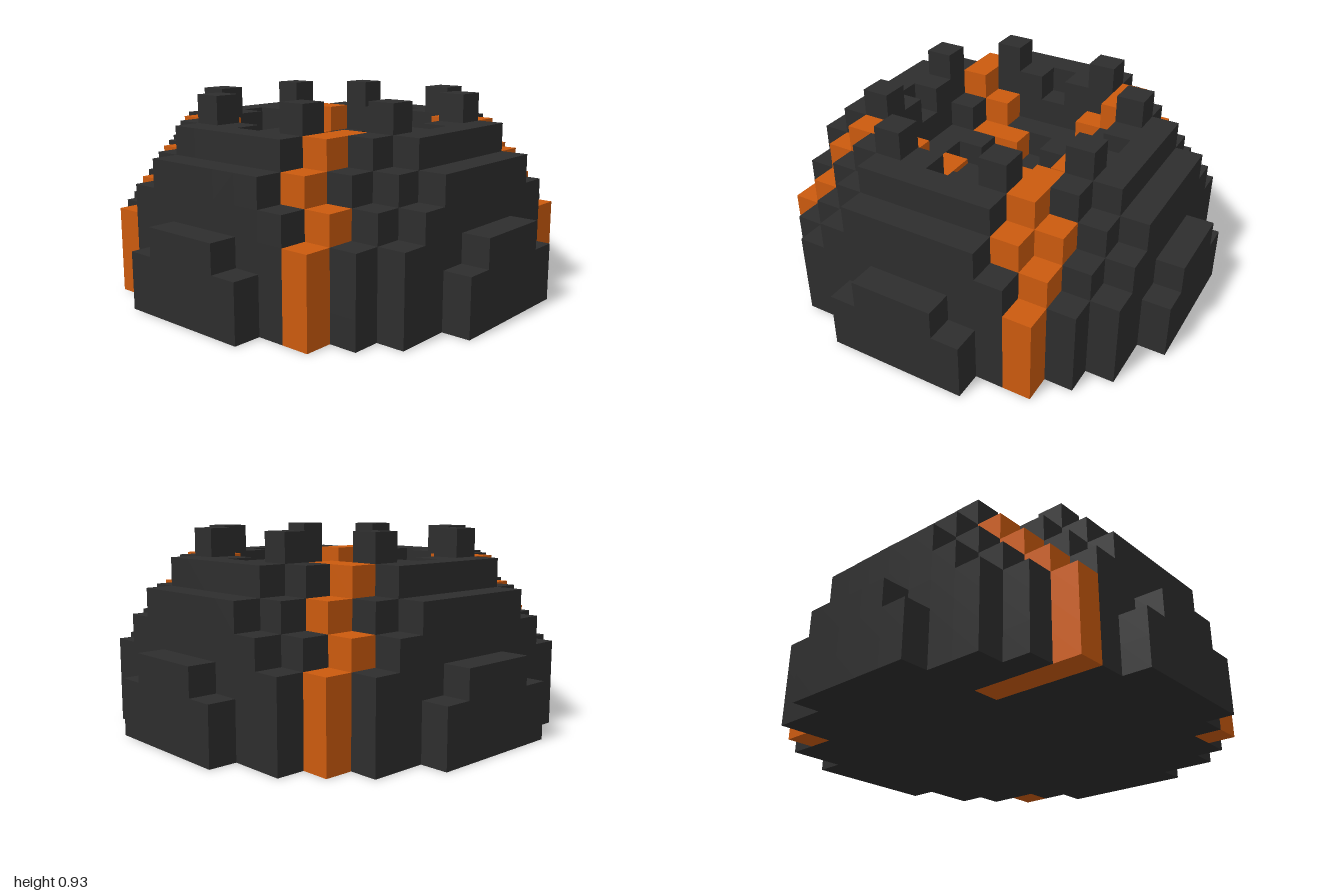
import * as THREE from 'three';

const CELL = 2 / 15;

// Glowing cracks: for each row z, the runs of columns [fromX, toX]
const CRACKS = {
  '-5': [[4, 5]],
  '-4': [[-6, -3], [3, 4]],
  '-3': [[-3, -2], [2, 3]],
  '-2': [[-2, -1], [2, 2]],
  '-1': [[-1, 2]],
  '0': [[-1, 1]],
  '1': [[-2, 1]],
  '2': [[-3, -2], [1, 2]],
  '3': [[-5, -3], [2, 3]],
  '4': [[-6, -5], [3, 4]],
  '5': [[3, 4]],
  '6': [[4, 4]],
};

const inCrack = (x, z) => (CRACKS[z] || []).some(([a, b]) => x >= a && x <= b);

// Dome of blocks with a round crater scooped out of the top
function solid(x, y, z) {
  if (y < 0) return false;
  const d = x * x + z * z;
  const dome = d + y * y <= 7.5 * 7.5;
  const crater = d + (y - 7) * (y - 7) <= 4.5 * 4.5;
  return dome && !crater;
}

// Only the outer layer of a crack glows; one crack also runs under the base
function isLava(x, y, z) {
  if (!inCrack(x, z)) return false;
  if (y === 0 && z === -4 && x < 0) return true;
  return !solid(x + 1, y, z) || !solid(x - 1, y, z) || !solid(x, y + 1, z) ||
    !solid(x, y, z + 1) || !solid(x, y, z - 1);
}

// Adds the square face of a block on the given axis and side
function addFace(out, cell, axis, side) {
  const u = (axis + 1) % 3, v = (axis + 2) % 3;
  const corners = [[-1, -1], [1, -1], [1, 1], [-1, 1]].map(([a, b]) => {
    const p = [cell[0], cell[1] + 0.5, cell[2]];
    p[axis] += side / 2;
    p[u] += a / 2;
    p[v] += b / 2;
    return p.map((n) => n * CELL);
  });
  const order = side > 0 ? [0, 1, 2, 0, 2, 3] : [0, 2, 1, 0, 3, 2];
  for (const i of order) out.push(...corners[i]);
}

// Skin of all blocks that pass the test
function blockSkin(test) {
  const out = [];
  for (let x = -7; x <= 7; x++)
    for (let y = 0; y <= 7; y++)
      for (let z = -7; z <= 7; z++) {
        if (!solid(x, y, z) || !test(x, y, z)) continue;
        for (let axis = 0; axis < 3; axis++)
          for (const side of [-1, 1]) {
            const next = [x, y, z];
            next[axis] += side;
            if (!solid(...next)) addFace(out, [x, y, z], axis, side);
          }
      }
  const geometry = new THREE.BufferGeometry();
  geometry.setAttribute('position', new THREE.Float32BufferAttribute(out, 3));
  geometry.computeVertexNormals();
  return geometry;
}

export function createModel() {
  const model = new THREE.Group();
  model.name = 'crackedCrater';

  const rock = new THREE.MeshStandardMaterial({ color: 0x2d2d2d });
  rock.name = 'darkRock';
  const lava = new THREE.MeshStandardMaterial({ color: 0xcb5a0e });
  lava.name = 'orangeLava';

  const dome = new THREE.Mesh(blockSkin((x, y, z) => !isLava(x, y, z)), rock);
  dome.name = 'rockDome';
  const cracks = new THREE.Mesh(blockSkin(isLava), lava);
  cracks.name = 'lavaCracks';

  model.add(dome, cracks);
  return model;
}
